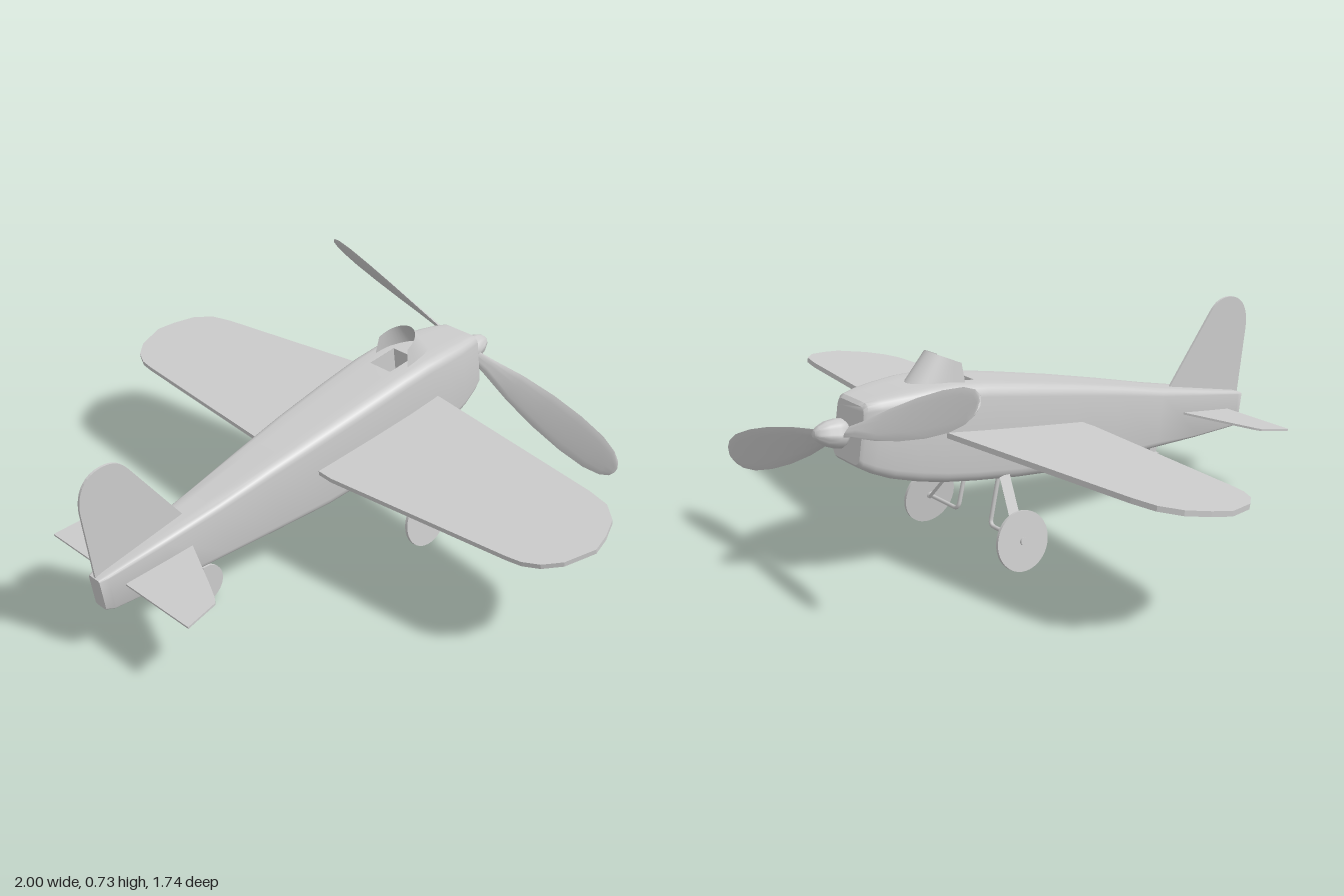
import * as THREE from 'three';
import { toCreasedNormals } from 'three/addons/utils/BufferGeometryUtils.js';

const grey = new THREE.MeshStandardMaterial({ color: 0xcccccc });
const thin = new THREE.MeshStandardMaterial({ color: 0xcccccc, side: THREE.DoubleSide });
const V = (x, y, z) => new THREE.Vector3(x, y, z);

function add(parent, name, geometry, material = grey) {
  const mesh = new THREE.Mesh(geometry, material);
  mesh.name = name;
  parent.add(mesh);
  return mesh;
}

// Skin over closed rings of equal size, capped at both ends; skip(i, j) leaves a panel open
function loft(rings, crease, skip = () => false) {
  const n = rings[0].length, last = (rings.length - 1) * n, index = [];
  for (let i = 0; i < rings.length - 1; i++) {
    for (let j = 0; j < n; j++) {
      if (skip(i, j)) continue;
      const a = i * n + j, b = i * n + (j + 1) % n;
      index.push(a, a + n, b, b, a + n, b + n);
    }
  }
  for (let j = 1; j < n - 1; j++) {
    index.push(0, j, j + 1, last, last + j + 1, last + j);
  }
  const g = new THREE.BufferGeometry().setFromPoints(rings.flat());
  g.setIndex(index);
  return toCreasedNormals(g, crease);
}

// Flat symmetric surface from a right-hand half outline of [x, z] points
function plate(half, thickness, tilt, y, zRef) {
  const mirrored = half.map(([x, z]) => [-x, z]).reverse();
  const pts = [...half, ...mirrored].map(([x, z]) => new THREE.Vector2(x, z - zRef));
  const g = new THREE.ExtrudeGeometry(new THREE.Shape(pts), { depth: thickness, bevelEnabled: false });
  g.translate(0, 0, -thickness / 2);
  return g.rotateX(Math.PI / 2 + tilt).translate(0, y, zRef);
}

// Flat bar between two points, wide along z
function bar(parent, name, a, b, thickness, width) {
  const mesh = add(parent, name, new THREE.BoxGeometry(thickness, a.distanceTo(b), width));
  mesh.position.copy(a).lerp(b, 0.5);
  mesh.quaternion.setFromUnitVectors(V(0, 1, 0), b.clone().sub(a).normalize());
}

function wheel(parent, name, radius, width) {
  const g = new THREE.CylinderGeometry(radius, radius, width, 40).rotateZ(Math.PI / 2);
  const mesh = add(parent, name, g);
  const hub = new THREE.CylinderGeometry(0.012, 0.012, width + 0.012, 12).rotateZ(Math.PI / 2);
  add(mesh, 'wheelHub', hub);
  return mesh;
}

// Rounded-rectangle fuselage section, leaning back with the tail-down stance
function section([z, w, top, bottom]) {
  const r = Math.min(w * 0.3, 0.035), ring = [], mid = (top + bottom) / 2;
  const put = (x, y) => ring.push(V(x, y, z + (y - mid) * 0.16));
  for (let q = 0; q < 4; q++) {
    const sx = q === 0 || q === 3 ? 1 : -1;
    const cy = q < 2 ? top - r : bottom + r;
    for (let k = 0; k <= 4; k++) {
      const a = (q + k / 4) * Math.PI / 2;
      put(sx * (w - r) + r * Math.cos(a), cy + r * Math.sin(a));
    }
    if (q === 0) {
      put(w * 0.37, top);
      put(-w * 0.37, top);
    }
  }
  return ring;
}

function propeller() {
  const group = new THREE.Group();
  group.name = 'propeller';
  // radius, chord, pitch
  const stations = [[0.67, 0.02, 0.44], [0.66, 0.06, 0.44], [0.63, 0.1, 0.45], [0.57, 0.132, 0.47],
    [0.47, 0.144, 0.5], [0.35, 0.135, 0.54], [0.22, 0.105, 0.6], [0.1, 0.06, 0.7], [0, 0.03, 0.8]];
  const rings = stations.map(([x, c, pitch]) => Array.from({ length: 14 }, (_, k) => {
    const t = k / 14 * Math.PI * 2;
    const thick = 0.006 + 0.008 * (1 - x / 0.67);
    return V(x, c / 2 * Math.cos(t), thick / 2 * Math.sin(t)).applyAxisAngle(V(1, 0, 0), -pitch);
  }));
  const blade = loft(rings, 1);
  add(group, 'bladeLeft', blade);
  add(group, 'bladeRight', blade).rotation.z = Math.PI;

  const nose = [[0, -0.012], [0.036, -0.012], [0.044, 0], [0.043, 0.02], [0.036, 0.05], [0.022, 0.076], [0.01, 0.087], [0, 0.09]];
  const spinner = new THREE.LatheGeometry(nose.map(p => new THREE.Vector2(...p)), 28);
  add(group, 'spinner', toCreasedNormals(spinner.rotateX(-Math.PI / 2), 0.7));
  const shaft = new THREE.CylinderGeometry(0.016, 0.016, 0.06, 14).rotateX(Math.PI / 2);
  add(group, 'propellerShaft', shaft).position.z = 0.03;
  group.position.set(0, 0.475, -0.785);
  group.rotation.set(0.18, 0, -0.36);
  return group;
}

export function createModel() {
  const model = new THREE.Group();
  model.name = 'airplane';

  // Fuselage from tail to nose: z, half width, top, bottom
  const stations = [[0.828, 0.026, 0.29, 0.18], [0.8, 0.034, 0.3, 0.174], [0.6, 0.055, 0.345, 0.18],
    [0.4, 0.073, 0.39, 0.19], [0.2, 0.089, 0.44, 0.199], [0, 0.105, 0.487, 0.21],
    [-0.2, 0.116, 0.53, 0.236], [-0.365, 0.122, 0.563, 0.264], [-0.475, 0.122, 0.579, 0.285],
    [-0.56, 0.118, 0.583, 0.305], [-0.65, 0.106, 0.58, 0.332], [-0.71, 0.092, 0.576, 0.358],
    [-0.748, 0.08, 0.57, 0.38], [-0.757, 0.072, 0.56, 0.39]];
  add(model, 'fuselage', loft(stations.map(section), 0.6, (i, j) => i === 7 && j === 5), thin);

  // Open cockpit tub (box without its lid) and seat
  const tub = new THREE.BoxGeometry(0.09, 0.13, 0.113);
  const faces = Array.from(tub.index.array);
  faces.splice(12, 6);
  tub.setIndex(faces);
  tub.translate(0, -0.065, 0).rotateX(0.15).translate(0, 0.57, -0.396);
  add(model, 'cockpitTub', tub, thin);
  add(model, 'seat', new THREE.BoxGeometry(0.07, 0.025, 0.07)).position.set(0, 0.465, -0.39);
  add(model, 'seatBack', new THREE.BoxGeometry(0.07, 0.08, 0.012)).position.set(0, 0.5, -0.355);

  // Curved windshield: lower base arc joined to a raked upper rim
  const shield = new THREE.PlaneGeometry(1, 1, 28, 1);
  const pos = shield.attributes.position;
  for (let i = 0; i < pos.count; i++) {
    const a = pos.getX(i) * Math.PI, c = Math.cos(a), s = Math.sin(a);
    if (pos.getY(i) > 0) pos.setXYZ(i, 0.064 * s, 0.63 + 0.036 * c, -0.4 - 0.078 * c);
    else pos.setXYZ(i, 0.073 * s, 0.562 + 0.018 * c, -0.393 - 0.165 * c);
  }
  shield.computeVertexNormals();
  add(model, 'windshield', shield, thin);

  // Wing and tail surfaces
  add(model, 'wing', plate([[0, -0.5], [0.13, -0.5], [0.82, -0.402], [0.9, -0.382], [0.955, -0.335],
    [0.985, -0.265], [1, -0.2], [0.965, -0.1], [0.92, -0.05], [0.87, -0.025], [0.82, -0.017],
    [0.16, 0.04], [0, 0.03]], 0.016, 0.152, 0.397, -0.22));
  add(model, 'tailplane', plate([[0, 0.5], [0.06, 0.515], [0.23, 0.595], [0.29, 0.625], [0.31, 0.64],
    [0.325, 0.755], [0, 0.755]], 0.007, 0.165, 0.266, 0.635));
  const fin = new THREE.Shape();
  fin.moveTo(-0.5, 0.36);
  fin.lineTo(-0.69, 0.6);
  fin.bezierCurveTo(-0.725, 0.645, -0.76, 0.645, -0.785, 0.643);
  fin.bezierCurveTo(-0.85, 0.635, -0.872, 0.58, -0.865, 0.52);
  fin.lineTo(-0.832, 0.28);
  fin.lineTo(-0.6, 0.28);
  const finGeo = new THREE.ExtrudeGeometry(fin, { depth: 0.008, bevelEnabled: false, curveSegments: 10 });
  add(model, 'fin', finGeo.translate(0, 0, -0.004).rotateY(Math.PI / 2));

  model.add(propeller());

  // Main landing gear, mirrored
  for (const s of [1, -1]) {
    const gear = new THREE.Group();
    gear.name = s > 0 ? 'landingGearLeft' : 'landingGearRight';
    const w = wheel(gear, 'mainWheel', 0.094, 0.01);
    w.position.set(s * 0.248, 0.1, -0.32);
    w.rotation.z = s * 0.13;
    bar(gear, 'outerStrut', V(s * 0.11, 0.26, -0.28), V(s * 0.238, 0.1, -0.32), 0.01, 0.032);
    const path = new THREE.CurvePath();
    path.add(new THREE.LineCurve3(V(s * 0.083, 0.27, -0.28), V(s * 0.085, 0.12, -0.315)));
    path.add(new THREE.QuadraticBezierCurve3(V(s * 0.085, 0.12, -0.315), V(s * 0.085, 0.102, -0.32), V(s * 0.105, 0.1, -0.32)));
    path.add(new THREE.LineCurve3(V(s * 0.105, 0.1, -0.32), V(s * 0.248, 0.1, -0.32)));
    add(gear, 'axleStrut', new THREE.TubeGeometry(path, 40, 0.007, 8));
    model.add(gear);
  }

  // Tail wheel and its fork
  const tail = new THREE.Group();
  tail.name = 'tailGear';
  wheel(tail, 'tailWheel', 0.067, 0.01).position.set(0, 0.07, 0.425);
  for (const s of [1, -1]) {
    bar(tail, 'tailFork', V(s * 0.016, 0.145, 0.432), V(s * 0.016, 0.062, 0.424), 0.006, 0.03);
  }
  add(tail, 'forkCrown', new THREE.BoxGeometry(0.038, 0.008, 0.03)).position.set(0, 0.145, 0.432);
  bar(tail, 'tailStrut', V(0, 0.21, 0.436), V(0, 0.145, 0.432), 0.012, 0.03);
  model.add(tail);

  return model;
}
